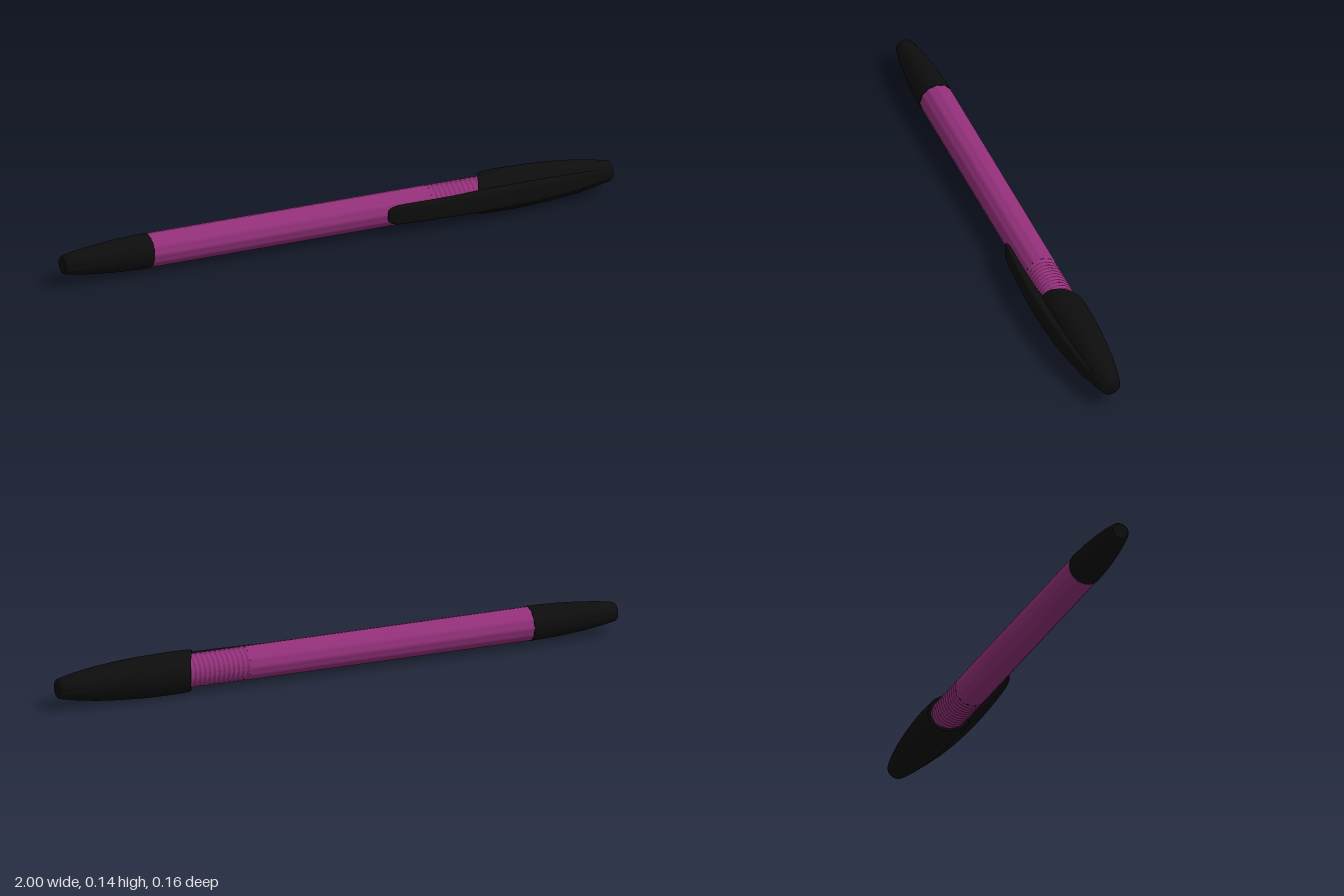
import * as THREE from 'three';
import { toCreasedNormals } from 'three/addons/utils/BufferGeometryUtils.js';

const AXIS_Y = 0.071, AXIS_Z = -0.012;

// Turned part: profile of [x, radius] pairs running along +x
function turned(profile, segments = 64) {
  const pts = profile.map(([x, r]) => new THREE.Vector2(r, x));
  return new THREE.LatheGeometry(pts, segments).rotateZ(-Math.PI / 2);
}

// Move every vertex by a rule
function reshape(geo, rule) {
  const p = geo.attributes.position, v = new THREE.Vector3();
  for (let i = 0; i < p.count; i++) {
    rule(v.fromBufferAttribute(p, i));
    p.setXYZ(i, v.x, v.y, v.z);
  }
  geo.computeVertexNormals();
  return geo;
}

// Closed loft through equal-length rings, capped at both ends
function loft(rings) {
  const n = rings[0].length, pos = rings.flat(2), idx = [];
  for (let i = 0; i < rings.length - 1; i++) {
    for (let j = 0; j < n; j++) {
      const a = i * n + j, b = i * n + (j + 1) % n;
      idx.push(a, b, a + n, b, b + n, a + n);
    }
  }
  const last = (rings.length - 1) * n;
  for (let j = 1; j < n - 1; j++) {
    idx.push(0, j + 1, j, last, last + j, last + j + 1);
  }
  const geo = new THREE.BufferGeometry();
  geo.setAttribute('position', new THREE.Float32BufferAttribute(pos, 3));
  geo.setIndex(idx);
  geo.computeVertexNormals();
  return geo;
}

export function createModel() {
  const purple = new THREE.MeshStandardMaterial({ name: 'purple', color: 0x93307a });
  const black = new THREE.MeshStandardMaterial({ name: 'black', color: 0x0d0d0d });
  const model = new THREE.Group();
  const pen = new THREE.Group();
  pen.name = 'pen';
  pen.position.set(0, AXIS_Y, AXIS_Z);
  model.add(pen);

  const add = (name, geo, material) => {
    const mesh = new THREE.Mesh(geo, material);
    mesh.name = name;
    pen.add(mesh);
  };

  // Barrel with faint lengthwise flutes
  const barrel = turned([[-0.7, 0.0565], [-0.3, 0.0565], [0, 0.0565], [0.33, 0.0565]], 96);
  add('barrel', reshape(barrel, (v) => {
    const s = 1 + 0.014 * Math.cos(12 * Math.atan2(v.z, v.y));
    v.y *= s;
    v.z *= s;
  }), purple);

  // Ribbed grip section that runs into the cap
  const ribs = [[0.33, 0.0565]], ribCount = 14, pitch = 0.24 / ribCount;
  for (let i = 0; i < ribCount; i++) {
    const x = 0.335 + i * pitch;
    ribs.push([x, 0.0565], [x + pitch * 0.35, 0.053], [x + pitch * 0.5, 0.053], [x + pitch * 0.85, 0.0565]);
  }
  ribs.push([0.6, 0.0565], [0.6, 0]);
  add('ribs', toCreasedNormals(turned(ribs), 0.5), purple);

  // Tapered plug at the tail
  add('tailPlug', toCreasedNormals(turned([
    [-1, 0], [-1, 0.026], [-0.995, 0.031], [-0.985, 0.0335], [-0.94, 0.041], [-0.88, 0.048],
    [-0.8, 0.0545], [-0.74, 0.057], [-0.688, 0.058], [-0.686, 0.055],
  ]), 0.7), black);

  // Cap with a slanted mouth; the slant fades out towards the closed end
  const cap = turned([
    [0.62, 0.0565], [0.52, 0.0565], [0.518, 0.066], [0.53, 0.0695], [0.58, 0.0708], [0.64, 0.0705],
    [0.7, 0.069], [0.78, 0.0645], [0.86, 0.057], [0.93, 0.047], [0.985, 0.036], [0.996, 0.033],
    [1, 0.028], [1, 0],
  ]);
  reshape(cap, (v) => {
    const fade = THREE.MathUtils.clamp((0.75 - v.x) / 0.23, 0, 1);
    v.x -= v.z * 0.48 * fade;
  });
  add('cap', toCreasedNormals(cap, 0.7), black);

  // Clip: [x, half height, inner z, outer z], blending into the cap
  const stations = [
    [0.16, 0.012, 0.063, 0.066], [0.163, 0.02, 0.061, 0.069], [0.172, 0.027, 0.06, 0.072],
    [0.19, 0.032, 0.059, 0.075], [0.22, 0.0335, 0.0585, 0.079], [0.32, 0.034, 0.058, 0.086],
    [0.42, 0.035, 0.057, 0.09], [0.5, 0.036, 0.05, 0.0915], [0.58, 0.036, 0.045, 0.09],
    [0.68, 0.036, 0.04, 0.0845], [0.78, 0.034, 0.03, 0.0745], [0.88, 0.029, 0.02, 0.059],
    [0.97, 0.02, 0.01, 0.04],
  ];
  const signedPow = (c) => Math.sign(c) * Math.abs(c) ** 0.5;
  const rings = stations.map(([x, h, z0, z1]) => Array.from({ length: 32 }, (_, j) => {
    const a = j / 32 * Math.PI * 2;
    return [x, h * signedPow(Math.cos(a)), (z0 + z1) / 2 + (z1 - z0) / 2 * signedPow(Math.sin(a))];
  }));
  add('clip', loft(rings), black);

  return model;
}
